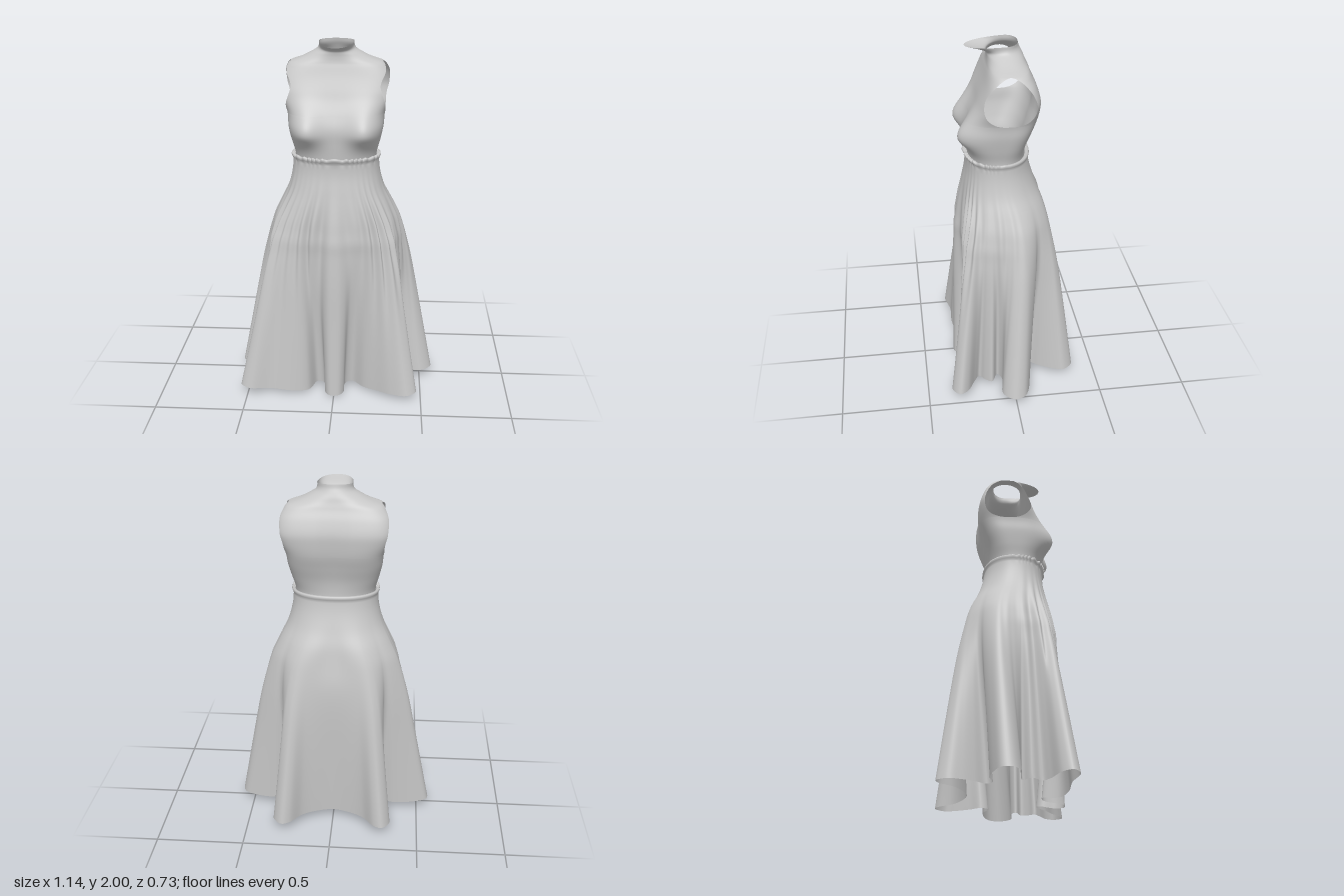
import * as THREE from 'three';
import { mergeGeometries, mergeVertices } from 'three/addons/utils/BufferGeometryUtils.js';

const cloth = new THREE.MeshStandardMaterial({ color: 0xc8c8c8, side: THREE.DoubleSide });
cloth.name = 'grey cloth';

// Smooth interpolation through rows of keys [y, value, value, ...]
function sample(keys, y) {
  const last = keys.length - 1;
  y = THREE.MathUtils.clamp(y, keys[0][0], keys[last][0]);
  let i = 0;
  while (i < last - 1 && y > keys[i + 1][0]) i++;
  const h = keys[i + 1][0] - keys[i][0], t = (y - keys[i][0]) / h;
  const slope = (k, c) => {
    const p = keys[Math.max(k - 1, 0)], q = keys[Math.min(k + 1, last)];
    return (q[c] - p[c]) / (q[0] - p[0]);
  };
  return keys[i].slice(1).map((v, n) => {
    const c = n + 1, w = keys[i + 1][c];
    return v * (2 * t ** 3 - 3 * t * t + 1) + w * (3 * t * t - 2 * t ** 3)
      + h * slope(i, c) * (t ** 3 - 2 * t * t + t) + h * slope(i + 1, c) * (t ** 3 - t * t);
  });
}

// Surface from a grid of points; point(i, j) returns [x, y, z]
function grid(cols, rows, point) {
  const pos = [], idx = [];
  for (let j = 0; j <= rows; j++) for (let i = 0; i <= cols; i++) pos.push(...point(i, j));
  for (let j = 0; j < rows; j++) for (let i = 0; i < cols; i++) {
    const a = j * (cols + 1) + i, b = a + 1, c = a + cols + 1, d = c + 1;
    idx.push(a, b, c, b, d, c);
  }
  const g = new THREE.BufferGeometry();
  g.setAttribute('position', new THREE.Float32BufferAttribute(pos, 3));
  g.setIndex(idx);
  return g;
}

function smooth(geometry) {
  const g = mergeVertices(geometry, 1e-4);
  g.computeVertexNormals();
  return g;
}

const bell = (d, s) => Math.exp(-0.5 * (d / s) ** 2);

// Bodice sections: y, half width, back z, front z, centre z, squareness
const BODICE = [
  [1.34, .222, -.10, .205, .05, 2.2], [1.40, .225, -.10, .212, .05, 2.4],
  [1.47, .243, -.11, .217, .045, 2.8], [1.55, .26, -.135, .217, .03, 3.2],
  [1.625, .268, -.158, .195, 0, 3.5], [1.70, .298, -.167, .165, 0, 4],
  [1.75, .31, -.166, .148, 0, 4.2], [1.82, .302, -.145, .122, 0, 4],
  [1.87, .272, -.122, .106, 0, 3.5], [1.89, .25, -.114, .10, 0, 3],
  [1.91, .195, -.106, .097, 0, 2.5], [1.935, .145, -.097, .097, 0, 2.2],
  [1.96, .108, -.085, .105, 0, 2], [1.98, .097, -.075, .14, 0, 2],
  [2.0, .096, -.07, .212, 0, 2.1],
];
const ARM_LOW = 1.625, ARM_TOP = 1.89;

// Half width of the egg-shaped armhole at height y
function armhole(y) {
  const t = (y - ARM_LOW) / (ARM_TOP - ARM_LOW);
  if (t <= 0 || t >= 1) return 0;
  return .135 * Math.max(Math.sin(Math.PI * t ** .72), 0) ** .54;
}

function bodiceGeometry() {
  const ys = [];
  for (let i = 0; i < 22; i++) ys.push(1.34 + (ARM_LOW - 1.34) * i / 22);
  for (let i = 0; i < 32; i++) ys.push(ARM_LOW + (ARM_TOP - ARM_LOW) * (1 - Math.cos(Math.PI * i / 32)) / 2);
  for (let i = 0; i <= 18; i++) ys.push(ARM_TOP + (2 - ARM_TOP) * i / 18);
  const cols = 64;
  // side = 1 for the front panel, -1 for the back; they join at the sides and shoulders
  const panel = side => grid(cols, ys.length - 1, (i, j) => {
    const y = ys[j];
    const [a, zb, zf, c, sq] = sample(BODICE, y);
    const n = side > 0 ? sq : 2 + (sq - 2) * 1.35;
    const r = side > 0 ? zf - c : c - zb;
    const s0 = Math.asin(Math.min(armhole(y) / r, .98) ** (n / 2));
    const s = s0 + (Math.PI - 2 * s0) * i / cols;
    const cs = Math.cos(s), sn = i === 0 || i === cols ? Math.sin(s0) : Math.sin(s);
    const x = -side * a * Math.sign(cs) * Math.abs(cs) ** (2 / n);
    let z = c + side * r * sn ** (2 / n);
    if (side > 0) z += .073 * sn ** .6 * bell(Math.abs(x) - .175, .07) * bell(y - 1.53, y > 1.53 ? .09 : .05);
    else z += .012 * sn * bell(x, .045) * bell(y - 1.65, .15);
    // the collar dips slightly towards the front
    const tilt = THREE.MathUtils.smoothstep(y, 1.93, 2) * .014 * (z - zb) / (zf - zb);
    return [x, y - tilt, z];
  });
  return smooth(mergeGeometries([panel(1), panel(-1)]));
}

// Skirt sections under the folds: y, half width, back z, front z, centre z, squareness
const WAIST = 1.355;
const SKIRT = [
  [0, .38, -.265, .29, 0, 2.6], [.6, .38, -.26, .29, 0, 2.6], [.8, .374, -.252, .282, .005, 2.6],
  [1.0, .347, -.232, .268, .01, 2.5], [1.1, .31, -.21, .255, .02, 2.4], [1.2, .266, -.168, .238, .04, 2.3],
  [1.3, .242, -.135, .222, .05, 2.25], [1.4, .236, -.117, .222, .05, 2.25],
];
// Hem outline in plan, from the back centre round by the right, front and left
const HEM = [
  [0, -.20], [-.10, -.225], [-.18, -.27], [-.25, -.352], [-.295, -.367], [-.34, -.31], [-.325, -.24],
  [-.29, -.17], [-.25, -.11], [-.28, -.08], [-.36, -.10], [-.48, -.085], [-.56, -.05], [-.565, .0],
  [-.50, .045], [-.41, .05], [-.34, .065], [-.39, .11], [-.36, .16], [-.41, .20], [-.51, .245],
  [-.54, .295], [-.49, .335], [-.37, .31], [-.24, .31], [-.15, .28], [-.10, .19], [-.06, .20], [-.052, .28],
  [-.03, .315], [0, .32], [.03, .315], [.055, .28], [.06, .20], [.10, .18], [.17, .24], [.24, .28],
  [.33, .335], [.42, .362], [.475, .32], [.45, .275], [.36, .225], [.32, .195], [.36, .165], [.39, .125],
  [.33, .09], [.38, .065], [.51, .075], [.568, .015], [.55, -.045], [.48, -.08], [.36, -.095],
  [.28, -.07], [.25, -.11], [.29, -.17], [.33, -.25], [.345, -.31], [.295, -.367], [.25, -.352],
  [.18, -.27], [.10, -.225],
];

// Depth of the folds, easing in below the hip
const foldDepth = y => .08 * Math.log(1 + Math.exp((1.05 - y) / .08));

function skirtGeometry() {
  const curve = new THREE.CatmullRomCurve3(HEM.map(([x, z]) => new THREE.Vector3(x, 0, z)), true);
  curve.arcLengthDivisions = 1200;
  const cols = 420, rows = 56;
  const hem = curve.getSpacedPoints(cols);
  // rolled waist edge: height, outward offset
  const roll = [[1.365, .001], [1.373, .005], [1.382, .009], [1.391, .008], [1.394, .001], [1.385, -.01]];
  return smooth(grid(cols, rows + roll.length, (i, j) => {
    const k = i % cols, p = hem[k], th = 2 * Math.PI * k / cols;
    const front = THREE.MathUtils.smoothstep(-Math.cos(th), -.35, .35);
    const hemY = p.z > 0 ? .05 - .05 * THREE.MathUtils.smoothstep(p.z, 0, .3) * Math.max(0, 1 - Math.abs(p.x) / .55) : .05;
    const edge = roll[j - rows - 1];
    let y = edge ? edge[0] : hemY + (WAIST - hemY) * j / rows;
    const [a, zb, zf, c, n] = sample(SKIRT, y);
    const sn = Math.sin(th), cs = Math.cos(th);
    let x = -a * Math.sign(sn) * Math.abs(sn) ** (2 / n);
    let z = c - (cs > 0 ? c - zb : zf - c) * Math.sign(cs) * Math.abs(cs) ** (2 / n);
    const t = foldDepth(y) / foldDepth(hemY);
    x += (p.x - x) * t;
    z += (p.z - z) * t;
    // gathers, the gathered seam line and the waist ruffle
    const wave = Math.cos(32 * th + 2 * Math.sin(5 * th)) * (1 + .5 * Math.sin(7 * th));
    let out = front * .008 * wave * bell(y - .96, y > .96 ? .13 : .28);
    out += front * .004 * bell(y - .92, .03);
    // back seam crease
    out -= (1 - front) * .014 * bell(sn, .14) * bell(y - 1.05, .09);
    if (edge) {
      const ruffle = front * Math.cos(40 * th + 3 * Math.sin(7 * th));
      out += edge[1] + (edge[1] > 0 ? .003 * ruffle : 0);
      y += .004 * ruffle;
    }
    const len = Math.hypot(sn, cs * .8);
    return [x - out * sn / len, y, z - out * cs / len];
  }));
}

export function createModel() {
  const dress = new THREE.Group();
  dress.name = 'dress';
  const bodice = new THREE.Mesh(bodiceGeometry(), cloth);
  bodice.name = 'bodice';
  const skirt = new THREE.Mesh(skirtGeometry(), cloth);
  skirt.name = 'skirt';
  dress.add(bodice, skirt);
  return dress;
}
